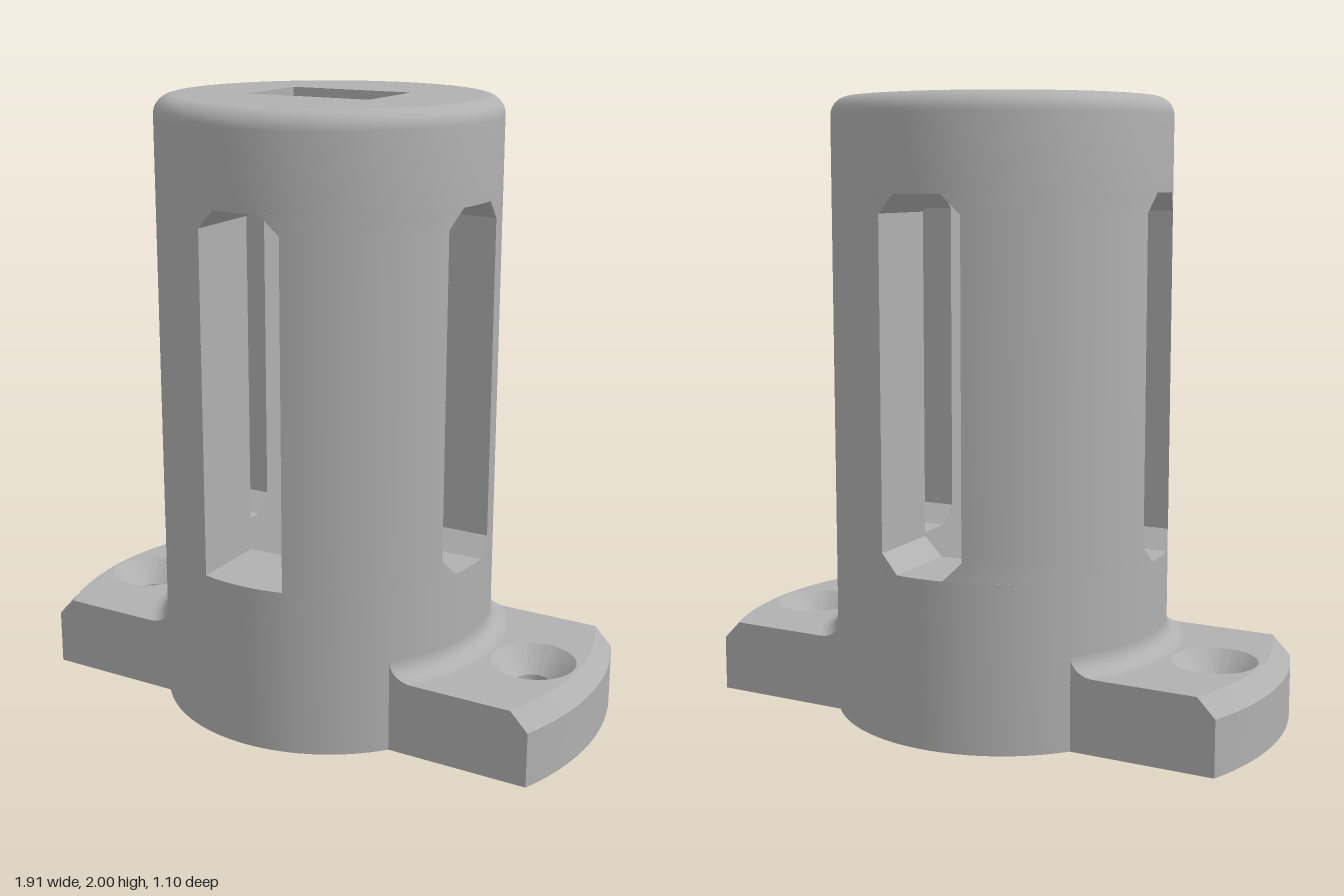
import * as THREE from 'three';
import { toCreasedNormals } from 'three/addons/utils/BufferGeometryUtils.js';

const R = 0.55, SLOT_LOW = 0.54, SLOT_HIGH = 1.7, CHAMFER = 0.06;
const FLANGE_R = 0.957, FLANGE_HALF = 0.355, FLANGE_TOP = 0.24;

const grey = new THREE.MeshStandardMaterial({ color: 0xb0b0b0, side: THREE.DoubleSide });
grey.name = 'plain grey';

function add(group, name, geometry) {
  const mesh = new THREE.Mesh(geometry, grey);
  mesh.name = name;
  group.add(mesh);
  return mesh;
}

// Skin between matching loops of [x, y, z] points
function loft(loops, closed = true) {
  const pos = [], n = loops[0].length;
  for (let j = 0; j < loops.length - 1; j++) {
    const a = loops[j], b = loops[j + 1];
    for (let i = 0; i < (closed ? n : n - 1); i++) {
      const k = (i + 1) % n;
      pos.push(...a[i], ...a[k], ...b[k], ...a[i], ...b[k], ...b[i]);
    }
  }
  const g = new THREE.BufferGeometry();
  g.setAttribute('position', new THREE.Float32BufferAttribute(pos, 3));
  return toCreasedNormals(g, 0.45);
}

// Flat horizontal face from outline points [x, z] with optional holes
function plate(outline, holes, y, faceUp = true) {
  const toV = (pts) => pts.map(([x, z]) => new THREE.Vector2(x, faceUp ? -z : z));
  const shape = new THREE.Shape(toV(outline));
  holes.forEach((h) => shape.holes.push(new THREE.Path(toV(h))));
  const g = new THREE.ShapeGeometry(shape);
  return g.rotateX(faceUp ? -Math.PI / 2 : Math.PI / 2).translate(0, y, 0);
}

const arc = (r, a0, a1, n) => Array.from({ length: n + 1 }, (_, i) => {
  const a = a0 + ((a1 - a0) * i) / n;
  return [r * Math.cos(a), r * Math.sin(a)];
});
const circle = (r, cx = 0) => arc(r, 0, Math.PI * 2, 96).slice(0, -1).map(([x, z]) => [x + cx, z]);
const rect = (hx, hz) => [[-hx, -hz], [-hx, hz], [hx, hz], [hx, -hz]];
const at = (pts, y) => pts.map(([x, z]) => [x, y, z]);
const lathe = (pts) => toCreasedNormals(
  new THREE.LatheGeometry(pts.map(([r, y]) => new THREE.Vector2(r, y)), 96), 0.45);

// Quarter column whose edges follow the slot outlines, corners chamfered
function column(sx, sz) {
  const section = (y, inset, squareFront) => {
    const xe = 0.14 - (squareFront && sz > 0 ? 0 : inset);
    const ze = 0.137 - inset + sz * 0.053;
    const arcPts = arc(R, Math.asin(ze / R), Math.acos(xe / R), 16);
    const pts = [[0.3, 0.27], [0.3, ze], ...arcPts, [xe, 0.27]];
    return pts.map(([x, z]) => [sx * x, y, sz * z]);
  };
  const loops = [
    section(SLOT_LOW, CHAMFER, true),
    section(SLOT_LOW + CHAMFER, 0, true),
    section(SLOT_HIGH - CHAMFER, 0, false),
    section(SLOT_HIGH, CHAMFER, false),
  ];
  // keep faces outward on mirrored columns
  return loft(sx * sz > 0 ? loops.reverse() : loops);
}

function createFlange() {
  const g = new THREE.Group();
  const outline = (r) => {
    const a = Math.asin(FLANGE_HALF / r), b = Math.asin(FLANGE_HALF / R);
    return [...arc(r, -a, a, 32), ...arc(R, b, -b, 24)];
  };
  const low = outline(FLANGE_R), high = outline(0.903);
  add(g, 'flangeSides', loft([at(high, FLANGE_TOP), at(low, 0.18), at(low, 0)]));
  add(g, 'flangeTop', plate(high, [circle(0.137, 0.755)], FLANGE_TOP));
  add(g, 'flangeBottom', plate(low, [circle(0.06, 0.755)], 0, false));

  // Countersunk screw hole
  add(g, 'screwHole', lathe([[0.137, FLANGE_TOP], [0.06, 0.163], [0.06, 0]])).position.x = 0.755;

  // Concave fillet where the flange meets the tube
  const rows = [];
  for (let i = 0; i <= 8; i++) {
    const t = (i / 8) * Math.PI / 2;
    const r = 0.61 - 0.06 * Math.cos(t), y = 0.3 - 0.06 * Math.sin(t);
    const a = Math.asin(FLANGE_HALF / r);
    const row = arc(r, -a, a, 24);
    const ends = at([row[0], row[24]], FLANGE_TOP);
    rows.push([ends[0], ...at(row, y), ends[1]]);
  }
  add(g, 'rootFillet', loft(rows, false));
  return g;
}

export function createModel() {
  const model = new THREE.Group();
  model.name = 'slottedTubeMount';
  const pocket = rect(0.3, 0.355), cavity = rect(0.3, 0.27), opening = rect(0.215, 0.14);

  // Lower tube
  const base = new THREE.Group();
  base.name = 'tubeBase';
  add(base, 'baseWall', lathe([[R, 0], [R, SLOT_LOW]]));
  add(base, 'baseBottom', plate(circle(R), [pocket], 0, false));
  add(base, 'baseCavity', loft([at(pocket, 0), at(pocket, 0.2), at(cavity, 0.28), at(cavity, SLOT_LOW)]));
  add(base, 'slotFloor', plate(circle(R), [cavity], SLOT_LOW));
  model.add(base);

  // Four columns between the slots
  for (const sx of [1, -1]) for (const sz of [1, -1]) add(model, 'column', column(sx, sz));

  // Rounded cap with rectangular opening
  const cap = new THREE.Group();
  cap.name = 'cap';
  const rim = arc(0.06, 0, Math.PI / 2, 8).map(([r, y]) => [0.49 + r, 1.94 + y]);
  add(cap, 'capWall', lathe([[R, SLOT_HIGH], ...rim]));
  add(cap, 'capTop', plate(circle(0.49), [opening], 2));
  add(cap, 'slotCeiling', plate(circle(R), [cavity], SLOT_HIGH, false));
  add(cap, 'capCavity', loft([at(cavity, SLOT_HIGH), at(cavity, 1.8)]));
  add(cap, 'cavityCeiling', plate(cavity, [opening], 1.8, false));
  add(cap, 'openingWalls', loft([at(opening, 1.8), at(opening, 2)]));
  model.add(cap);

  // Mounting flanges on both sides
  for (const [name, turn] of [['leftFlange', 0], ['rightFlange', Math.PI]]) {
    const flange = createFlange();
    flange.name = name;
    flange.rotation.y = turn;
    model.add(flange);
  }
  return model;
}
